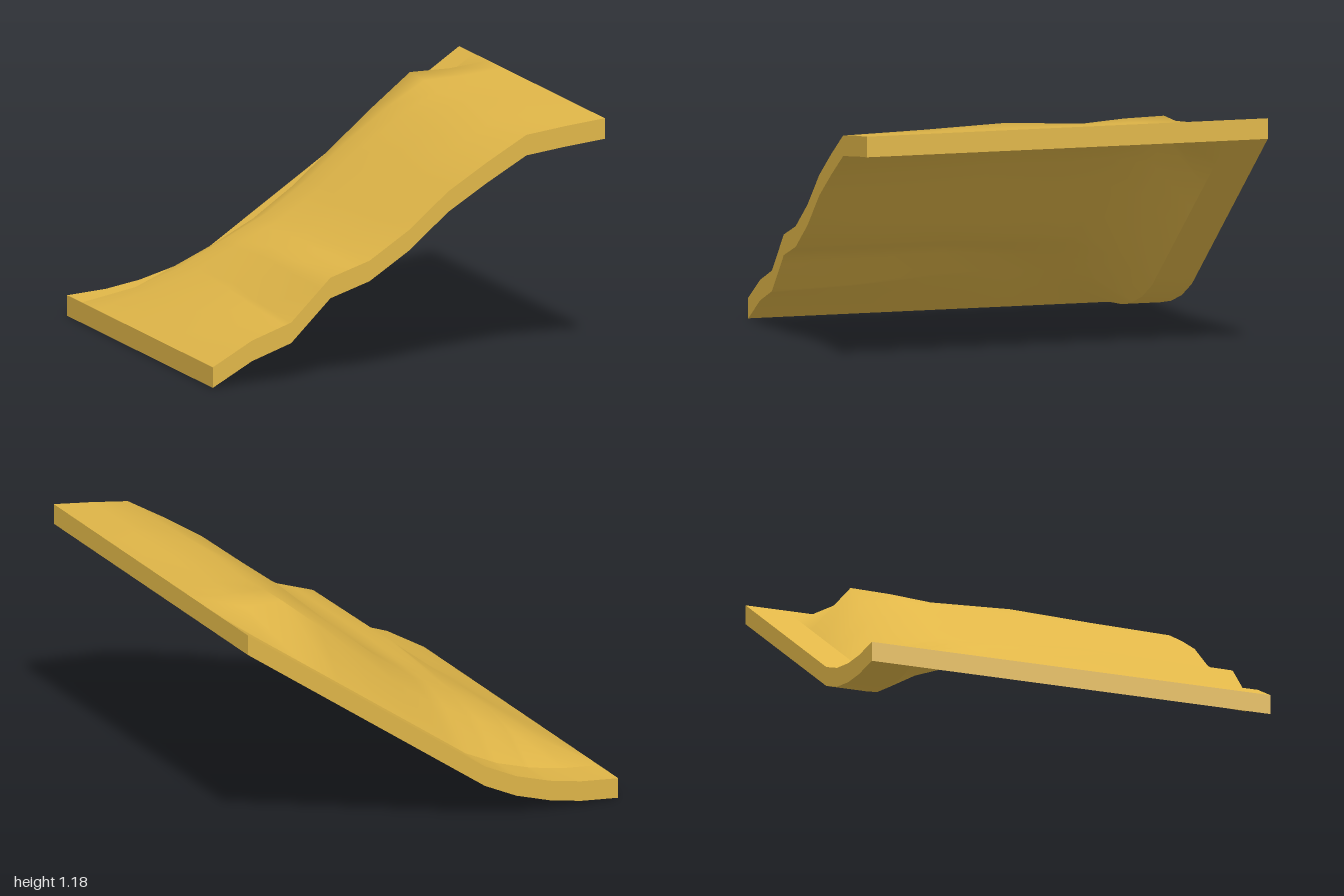
import * as THREE from 'three';

const THICKNESS = 0.1;

// Column positions: a regular 0.2 grid plus the bends of the smooth ramp
const xs = [-1, -0.8, -0.63, -0.6, -0.45, -0.4, -0.28, -0.2, 0, 0.2, 0.4, 0.6, 0.8, 1];

// Smooth ramp profile of the back strip, as [x, top height]
const ramp = [[-1, 0.103], [-0.8, 0.122], [-0.63, 0.155], [-0.45, 0.21], [-0.28, 0.29], [1, 1.185]];

// Rough hill profiles from front to back, heights at x = -1, -0.8 ... 1
const hill = [
  [1, [0.103, 0.22, 0.295, 0.50, 0.57, 0.705, 0.88, 1.01, 1.13, 1.16, 1.185]],
  [0.6, [0.103, 0.22, 0.31, 0.505, 0.57, 0.70, 0.885, 1.02, 1.14, 1.16, 1.185]],
  [0.2, [0.103, 0.22, 0.345, 0.51, 0.57, 0.695, 0.895, 1.03, 1.155, 1.16, 1.185]],
  [-0.2, [0.103, 0.22, 0.36, 0.47, 0.565, 0.705, 0.88, 1.025, 1.135, 1.16, 1.185]],
  [-0.4, [0.103, 0.22, 0.345, 0.455, 0.56, 0.705, 0.875, 1.025, 1.15, 1.16, 1.185]],
  [-0.6, [0.103, 0.2, 0.29, 0.385, 0.495, 0.64, 0.815, 0.99, 1.155, 1.16, 1.185]],
].map(([z, ys]) => [z, ys.map((y, i) => [-1 + i * 0.2, y])]);
const rows = [...hill, [-0.8, ramp], [-1, ramp]];

// Piecewise linear lookup in a profile
function heightAt(profile, x) {
  for (let i = 1; i < profile.length; i++) {
    const [x0, y0] = profile[i - 1], [x1, y1] = profile[i];
    if (x <= x1 + 1e-6) return y0 + ((y1 - y0) * (x - x0)) / (x1 - x0);
  }
  return profile[profile.length - 1][1];
}

// Smooth surface lofted through the rows; flipped when it faces down
function sheet(list, drop, down) {
  const pos = [], index = [], n = xs.length;
  for (const [z, profile] of list) {
    for (const x of xs) pos.push(x, heightAt(profile, x) - drop, z);
  }
  for (let r = 0; r < list.length - 1; r++) {
    for (let c = 0; c < n - 1; c++) {
      const a = r * n + c, b = a + 1, d = a + n, e = d + 1;
      if (down) index.push(a, d, b, b, d, e);
      else index.push(a, b, d, b, e, d);
    }
  }
  const geo = new THREE.BufferGeometry();
  geo.setAttribute('position', new THREE.Float32BufferAttribute(pos, 3));
  geo.setIndex(index);
  geo.computeVertexNormals();
  return geo;
}

// Flat vertical band around the whole outline
function rimGeometry() {
  const front = rows[0], back = rows[rows.length - 1];
  const point = (x, [z, profile]) => [x, heightAt(profile, x), z];
  const loop = [
    ...xs.map((x) => point(x, front)),
    ...rows.slice(1).map((r) => point(1, r)),
    ...[...xs].reverse().slice(1).map((x) => point(x, back)),
    ...[...rows].reverse().slice(1).map((r) => point(-1, r)),
  ];
  const pos = [];
  for (let i = 0; i < loop.length - 1; i++) {
    const [p, q] = [loop[i], loop[i + 1]];
    const low = ([x, y, z]) => [x, y - THICKNESS, z];
    pos.push(...low(p), ...low(q), ...q, ...low(p), ...q, ...p);
  }
  const geo = new THREE.BufferGeometry();
  geo.setAttribute('position', new THREE.Float32BufferAttribute(pos, 3));
  geo.computeVertexNormals();
  return geo;
}

export function createModel() {
  const group = new THREE.Group();
  group.name = 'hillsideSlab';
  const material = new THREE.MeshStandardMaterial({ color: 0xe0b648 });
  const add = (name, geo) => {
    const mesh = new THREE.Mesh(geo, material);
    mesh.name = name;
    group.add(mesh);
  };

  // Hill and ramp are separate sheets, which keeps the crease between them sharp
  const hillRows = rows.slice(0, -1), rampRows = rows.slice(-2);
  add('hillTop', sheet(hillRows, 0, false));
  add('rampTop', sheet(rampRows, 0, false));
  add('hillUnderside', sheet(hillRows, THICKNESS, true));
  add('rampUnderside', sheet(rampRows, THICKNESS, true));
  add('rim', rimGeometry());

  // Rest the lowest edge on the ground
  const box = new THREE.Box3().setFromObject(group);
  group.position.y = -box.min.y;
  return group;
}
